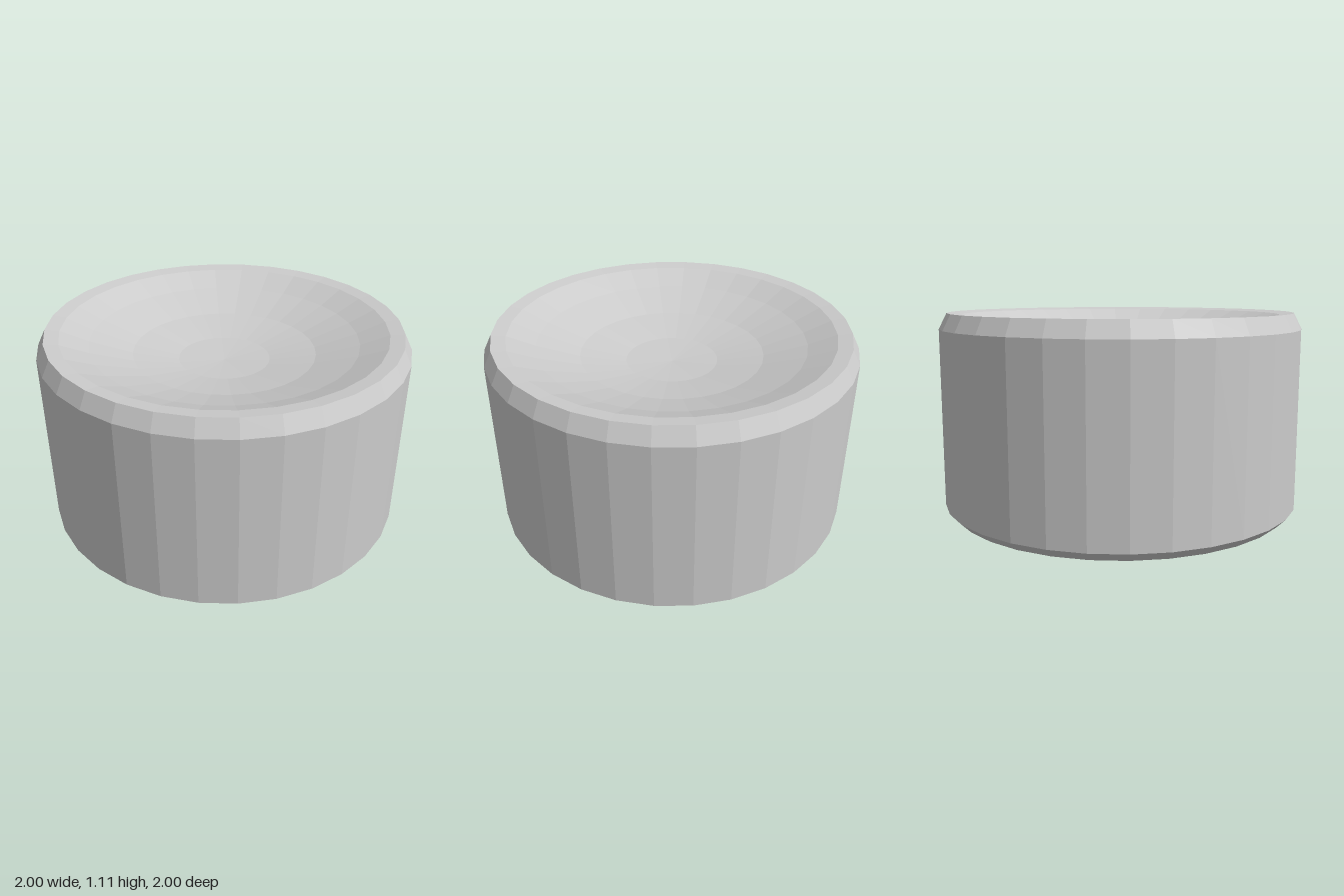
import * as THREE from 'three';

const SIDES = 32;

// Turn a list of [radius, height] pairs into a faceted ring surface
function lathe(name, profile) {
  const points = profile.map(([r, y]) => new THREE.Vector2(r, y));
  const material = new THREE.MeshStandardMaterial({ color: 0xcccccc, flatShading: true });
  const mesh = new THREE.Mesh(new THREE.LatheGeometry(points, SIDES), material);
  mesh.name = name;
  return mesh;
}

export function createModel() {
  const group = new THREE.Group();
  group.name = 'dishedCylinder';

  // Flat base, chamfered foot, straight wall and sloping shoulder
  group.add(lathe('body', [[0, 0], [0.95, 0], [1, 0.05], [1, 1.02], [0.957, 1.105]]));

  // Narrow rim around the top
  group.add(lathe('rim', [[0.957, 1.105], [0.88, 1.095]]));

  // Shallow bowl sunk into the top
  group.add(lathe('dish', [[0.88, 1.095], [0.73, 1.03], [0.5, 0.955], [0.25, 0.91], [0, 0.895]]));

  return group;
}
